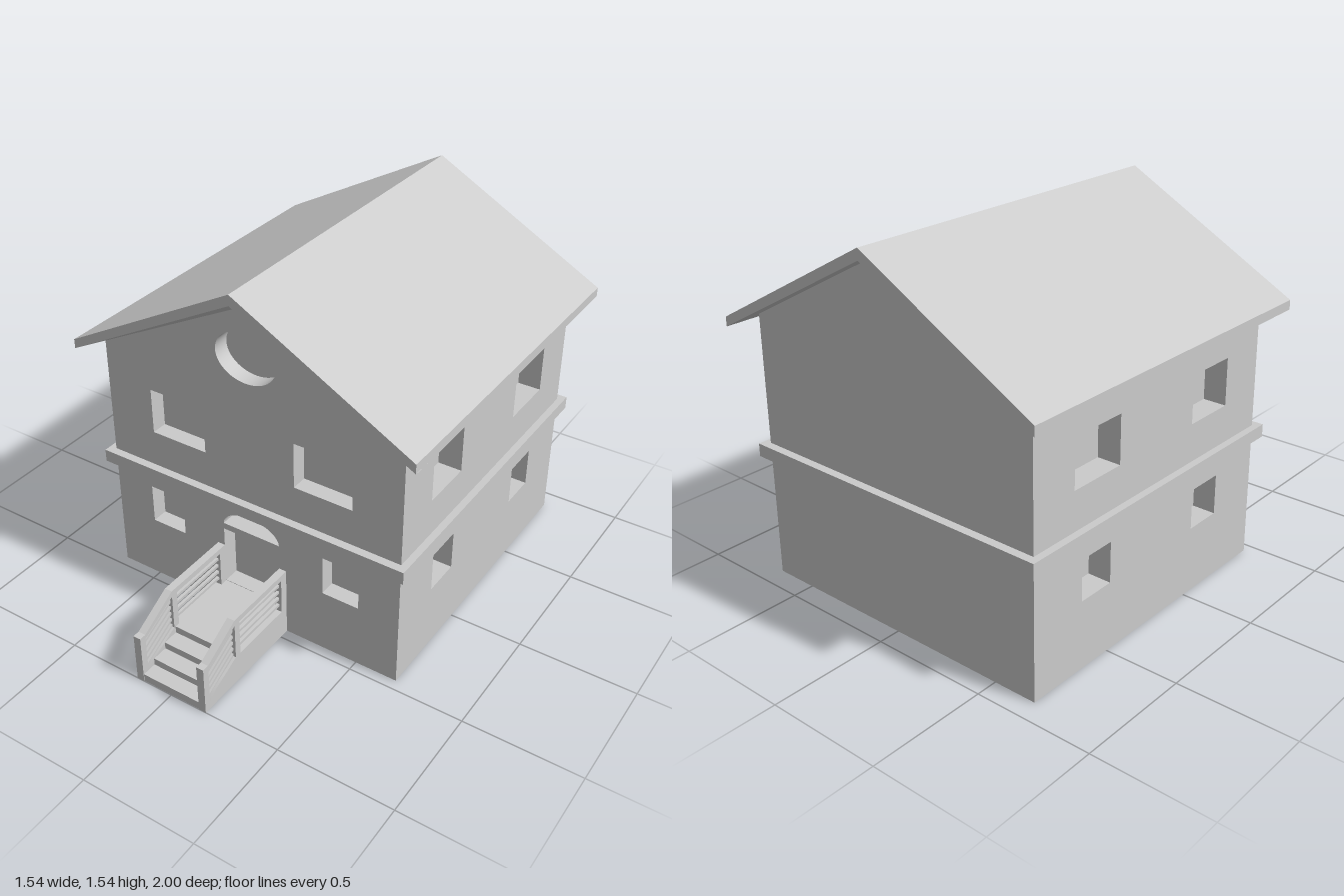
import * as THREE from 'three';
import { toCreasedNormals } from 'three/addons/utils/BufferGeometryUtils.js';

const material = new THREE.MeshStandardMaterial({ color: 0xcccccc });
const thin = new THREE.MeshStandardMaterial({ color: 0xcccccc, side: THREE.DoubleSide });

const polygon = (pts) => new THREE.Shape(pts.map(([x, y]) => new THREE.Vector2(x, y)));
const rect = (x0, x1, y0, y1) => polygon([[x0, y0], [x1, y0], [x1, y1], [x0, y1]]);

function extrude(shape, depth) {
  const geo = new THREE.ExtrudeGeometry(shape, { depth, bevelEnabled: false, curveSegments: 24 });
  return toCreasedNormals(geo, 0.5);
}

// Shape drawn in (z, y), extruded from outerX towards -x
function extrudeSide(shape, depth, outerX) {
  return extrude(shape, depth).rotateY(-Math.PI / 2).translate(outerX, 0, 0);
}

function add(group, name, geo, mat = material) {
  const mesh = new THREE.Mesh(geo, mat);
  mesh.name = name;
  group.add(mesh);
  return mesh;
}

function addBox(group, name, x0, x1, y0, y1, z0, z1) {
  const geo = new THREE.BoxGeometry(x1 - x0, y1 - y0, z1 - z0);
  geo.translate((x0 + x1) / 2, (y0 + y1) / 2, (z0 + z1) / 2);
  return add(group, name, geo);
}

const W = 0.685, FRONT = 0.455, BACK = -0.91;
const FRONT_REVEAL = 0.07, SIDE_REVEAL = 0.1;

function createWalls() {
  const walls = new THREE.Group();
  walls.name = 'walls';
  const inner = W - SIDE_REVEAL, z1 = FRONT - FRONT_REVEAL;

  // Solid core, whose faces close the window recesses
  const core = polygon([[-inner, 0], [inner, 0], [inner, 1], [W, 1], [W, 1.135], [0, 1.5], [-W, 1.135], [-W, 1], [-inner, 1]]);
  add(walls, 'core', extrude(core, z1 - BACK).translate(0, 0, BACK));

  // Gabled front wall with windows, door, fanlight and oval window
  const front = polygon([[-W, 0], [W, 0], [W, 1.12], [0, 1.46], [-W, 1.12]]);
  for (const s of [-1, 1]) {
    front.holes.push(rect(s * 0.21, s * 0.47, 0.745, 0.945), rect(s * 0.34, s * 0.505, 0.285, 0.46));
  }
  front.holes.push(rect(-0.135, 0.135, 0.13, 0.4));
  const fanlight = new THREE.Path();
  fanlight.moveTo(0.135, 0.428);
  fanlight.absellipse(0, 0.428, 0.135, 0.077, 0, Math.PI, false, 0);
  const oval = new THREE.Path();
  oval.absellipse(0, 1.24, 0.137, 0.107, 0, Math.PI * 2, false, 0);
  front.holes.push(fanlight, oval);
  add(walls, 'frontWall', extrude(front, FRONT_REVEAL).translate(0, 0, z1));

  // Side walls with two windows on each floor
  for (const [name, outerX] of [['leftWall', W], ['rightWall', -W + SIDE_REVEAL]]) {
    const side = rect(BACK, z1, 0, 1);
    side.holes.push(
      rect(0.01, 0.24, 0.745, 0.945), rect(-0.695, -0.44, 0.745, 0.945),
      rect(0.035, 0.2, 0.285, 0.455), rect(-0.65, -0.485, 0.285, 0.455)
    );
    add(walls, name, extrudeSide(side, SIDE_REVEAL, outerX));
  }
  return walls;
}

function createRoof() {
  const roof = new THREE.Group();
  roof.name = 'roof';
  const slab = polygon([[-0.77, 1.08], [0, 1.495], [0.77, 1.08], [0.77, 1.12], [0, 1.54], [-0.77, 1.12]]);
  const geo = new THREE.ExtrudeGeometry(slab, { depth: 1.54, bevelEnabled: false });
  add(roof, 'roofSlab', geo.translate(0, 0, -1));

  // Front soffits dip from the roof edge to the gable wall
  for (const s of [-1, 1]) {
    const A = [0, 1.495, 0.54], E = [s * 0.77, 1.08, 0.54];
    const B = [0, 1.455, FRONT], F = [s * 0.77, 1.078, FRONT];
    const soffit = new THREE.BufferGeometry();
    const pts = s > 0 ? [A, B, E, B, F, E] : [A, E, B, B, E, F];
    soffit.setAttribute('position', new THREE.Float32BufferAttribute(pts.flat(), 3));
    soffit.computeVertexNormals();
    add(roof, s > 0 ? 'leftSoffit' : 'rightSoffit', soffit, thin);
  }
  return roof;
}

function createStairs() {
  const stairs = new THREE.Group();
  stairs.name = 'entranceStairs';

  // Landing and steps as one stepped profile
  const profile = [[FRONT - 0.02, 0], [0.998, 0], [0.998, 0.035]];
  for (let i = 0; i < 3; i++) {
    const z = 0.933 - i * 0.07, y = 0.035 + i * 0.031;
    profile.push([z, y], [z, y + 0.031]);
  }
  profile.push([FRONT - 0.02, 0.128]);
  add(stairs, 'steps', extrudeSide(polygon(profile), 0.33, 0.165));

  // Railings: a frame with two openings, filled with thin bars
  for (const s of [-1, 1]) {
    const rail = new THREE.Group();
    rail.name = s > 0 ? 'leftRailing' : 'rightRailing';
    const outer = s > 0 ? 0.168 : -0.135;
    const frame = polygon([[FRONT, 0], [1, 0], [1, 0.22], [0.97, 0.22], [0.8, 0.315], [FRONT, 0.315]]);
    frame.holes.push(
      rect(0.49, 0.77, 0.128, 0.29),
      polygon([[0.8, 0.128], [0.865, 0.097], [0.935, 0.066], [0.97, 0.035], [0.97, 0.2], [0.8, 0.288]])
    );
    add(rail, 'railFrame', extrudeSide(frame, 0.033, outer));
    const barX = s * 0.151;
    for (let i = 0; i < 4; i++) {
      const y = 0.158 + i * 0.033;
      addBox(rail, 'landingBar', barX - 0.006, barX + 0.006, y - 0.006, y + 0.006, 0.485, 0.775);
    }
    for (let i = 0; i < 5; i++) {
      const y = 0.046 + i * 0.031;
      const bar = polygon([[0.97, y - 0.006], [0.97, y + 0.006], [0.8, y + 0.094], [0.8, y + 0.082]]);
      add(rail, 'stairBar', extrudeSide(bar, 0.012, barX + 0.006));
    }
    stairs.add(rail);
  }
  return stairs;
}

export function createModel() {
  const house = new THREE.Group();
  house.name = 'house';
  house.add(createWalls(), createRoof(), createStairs());

  // Moulding between the floors, as four strips around the walls
  const band = new THREE.Group();
  band.name = 'floorBand';
  addBox(band, 'frontBand', -0.715, 0.715, 0.53, 0.585, FRONT - 0.02, 0.49);
  addBox(band, 'backBand', -0.715, 0.715, 0.53, 0.585, -0.945, BACK + 0.02);
  addBox(band, 'leftBand', W - 0.02, 0.715, 0.53, 0.585, BACK + 0.02, FRONT - 0.02);
  addBox(band, 'rightBand', -0.715, 0.02 - W, 0.53, 0.585, BACK + 0.02, FRONT - 0.02);
  house.add(band);
  return house;
}
